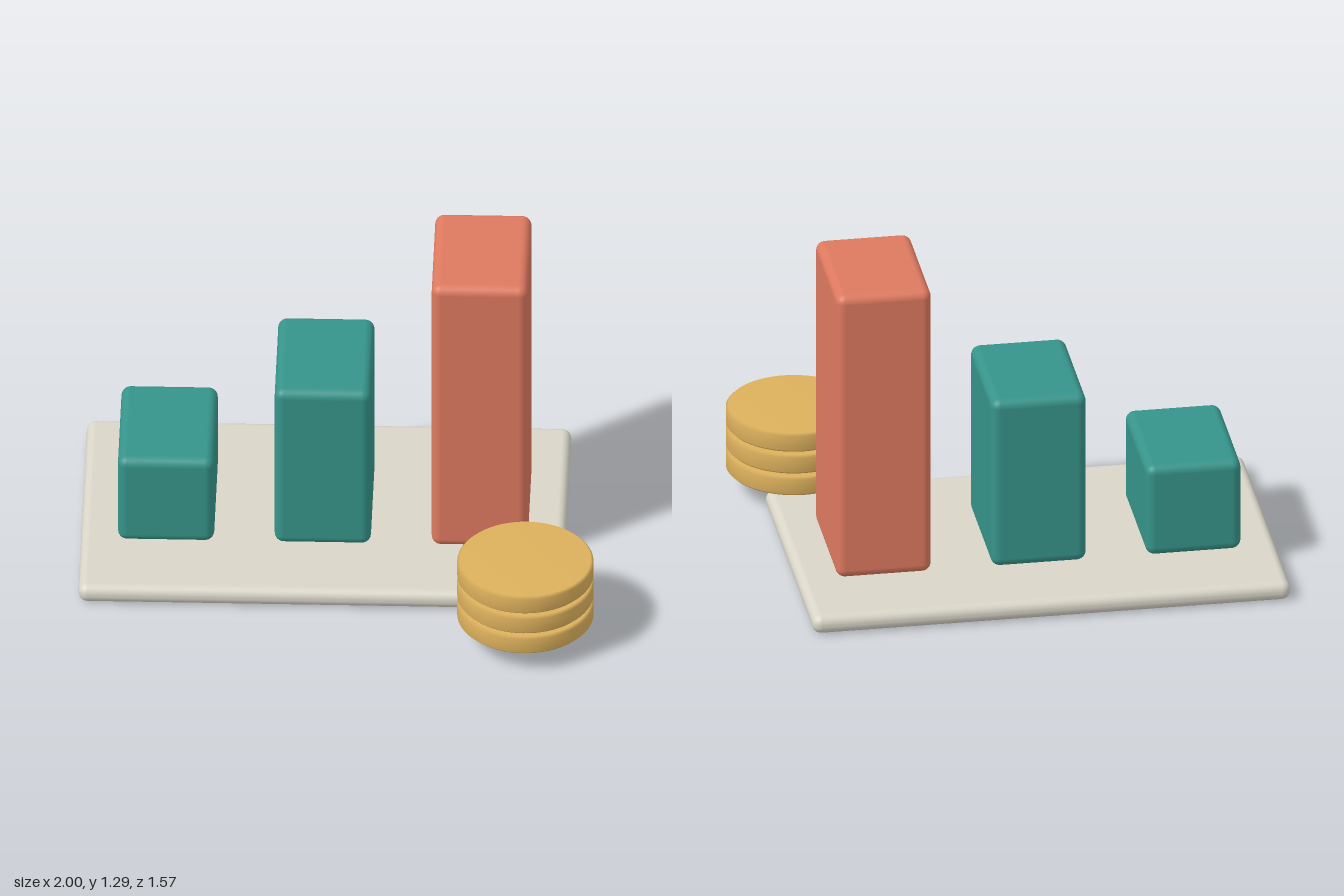
import * as THREE from 'three';
import { RoundedBoxGeometry } from 'three/addons/geometries/RoundedBoxGeometry.js';

function material(name, color) {
  const m = new THREE.MeshStandardMaterial({ color });
  m.name = name;
  return m;
}

export function createModel() {
  const group = new THREE.Group();
  group.name = 'barChartWithCoins';

  const stone = material('stone', 0xd9d5c8);
  const teal = material('teal', 0x36948a);
  const coral = material('coral', 0xdd795f);
  const gold = material('gold', 0xdcb05c);

  // Rounded block given by its size, lower face height and centre
  function block(name, w, h, d, radius, x, y, z, mat) {
    const mesh = new THREE.Mesh(new RoundedBoxGeometry(w, h, d, 4, radius), mat);
    mesh.name = name;
    mesh.position.set(x, y + h / 2, z);
    group.add(mesh);
  }

  // Base plate
  block('basePlate', 1.876, 0.077, 1.16, 0.036, -0.062, 0, -0.21, stone);

  // Three bars rising to the model's left
  const bars = [
    ['shortBar', -0.67, 0.385, teal],
    ['middleBar', -0.063, 0.717, teal],
    ['tallBar', 0.545, 1.217, coral],
  ];
  for (const [name, x, h, mat] of bars) {
    block(name, 0.373, h, 0.53, 0.036, x, 0.078, -0.21, mat);
  }

  // Stack of coins with a small softened rim
  const r = 0.264, t = 0.08, b = 0.01;
  const profile = [[0, 0], [r - b, 0], [r, b], [r, t - b], [r - b, t], [0, t]]
    .map(([x, y]) => new THREE.Vector2(x, y));
  const coinGeometry = new THREE.LatheGeometry(profile, 64);
  const coins = new THREE.Group();
  coins.name = 'coinStack';
  coins.position.set(0.736, 0.085, 0.52);
  for (let i = 0; i < 3; i++) {
    const coin = new THREE.Mesh(coinGeometry, gold);
    coin.name = 'coin' + (i + 1);
    coin.position.y = i * 0.094;
    coins.add(coin);
  }
  group.add(coins);

  return group;
}
